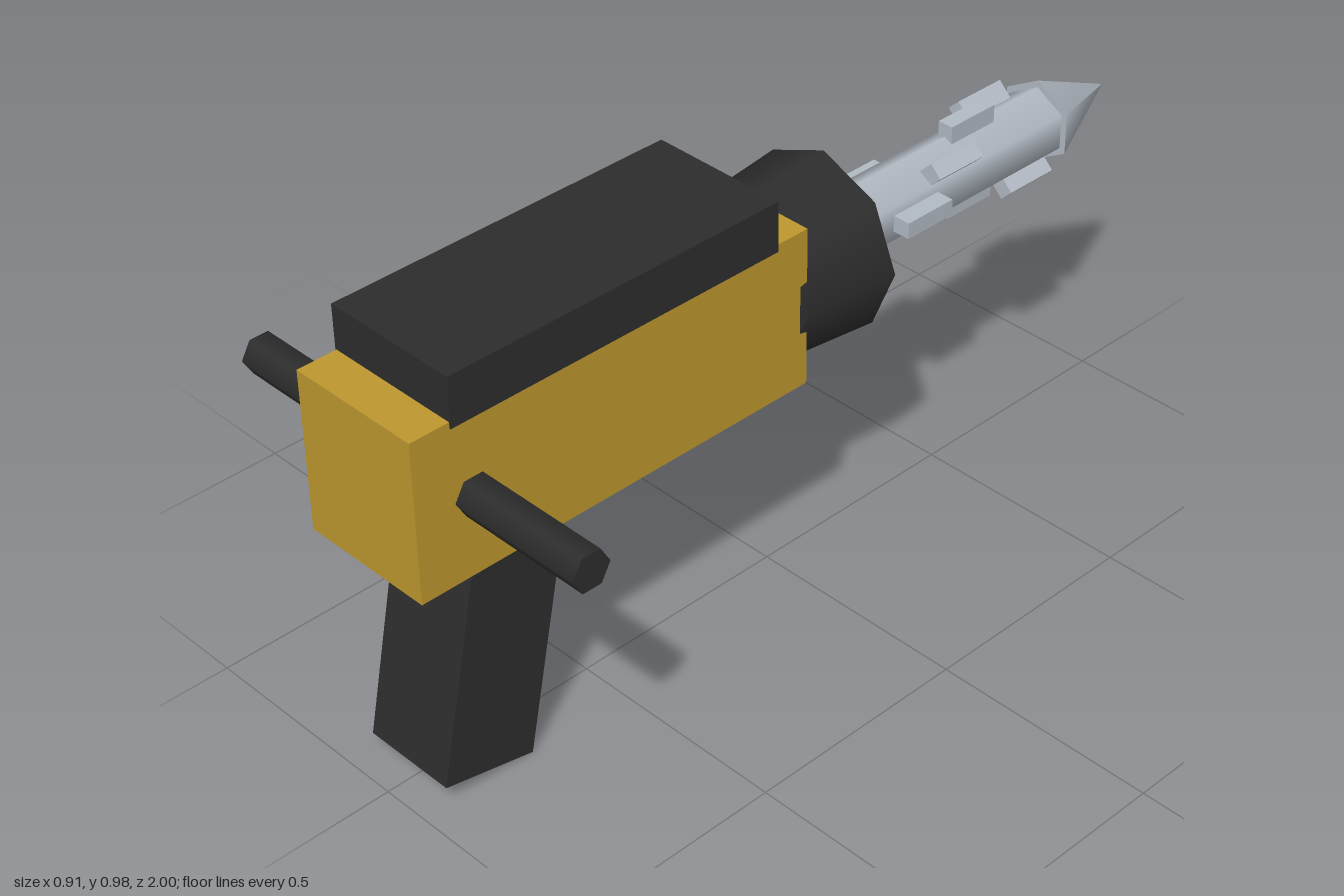
import * as THREE from 'three';

const gold = new THREE.MeshStandardMaterial({ name: 'gold', color: 0xbd982e });
const black = new THREE.MeshStandardMaterial({ name: 'black', color: 0x2d2d2d });
const steel = new THREE.MeshStandardMaterial({ name: 'steel', color: 0xb2bac3 });

const AXIS_Y = 0.715; // height of the drill axis

export function createModel() {
  const model = new THREE.Group();
  model.name = 'handDrill';

  function add(name, geometry, material, x, y, z) {
    const mesh = new THREE.Mesh(geometry, material);
    mesh.name = name;
    mesh.position.set(x, y, z);
    model.add(mesh);
    return mesh;
  }
  const box = (name, material, w, h, d, y, z) =>
    add(name, new THREE.BoxGeometry(w, h, d), material, 0, y, z);

  // Round part along the drill axis, from zBack to zTip (towards -z)
  function axial(name, material, rTip, rBack, zTip, zBack, sides) {
    const geometry = new THREE.CylinderGeometry(rTip, rBack, zBack - zTip, sides);
    geometry.rotateX(-Math.PI / 2);
    return add(name, geometry, material, 0, AXIS_Y, (zTip + zBack) / 2);
  }

  // Housing, top cover and slanted grip
  box('housing', gold, 0.306, 0.35, 0.955, AXIS_Y, 0.5225);
  box('topCover', black, 0.312, 0.109, 0.787, 0.931, 0.5185);
  box('grip', black, 0.216, 0.52, 0.215, 0.277, 0.787).rotation.x = -0.205;

  // Side handles: one hexagonal bar through the housing
  const bar = new THREE.CylinderGeometry(0.043, 0.043, 0.912, 6).rotateZ(Math.PI / 2);
  add('sideHandleBar', bar, black, 0, 0.714, 0.868);

  // Flared chuck
  axial('chuck', black, 0.195, 0.175, -0.154, 0.063, 8);

  // Drill bit: shaft and pointed tip
  axial('drillShaft', steel, 0.078, 0.078, -0.79, -0.175, 6);
  axial('drillTip', steel, 0, 0.094, -1, -0.787, 6);

  // Cutting teeth: bars through the shaft, each turned 45 degrees from the last
  for (let i = 0; i < 4; i++) {
    const tooth = box('drillTeeth' + (i + 1), steel, 0.215, 0.036, 0.127, AXIS_Y, -0.349 - i * 0.1095);
    tooth.rotation.z = i * Math.PI / 4;
  }

  return model;
}
